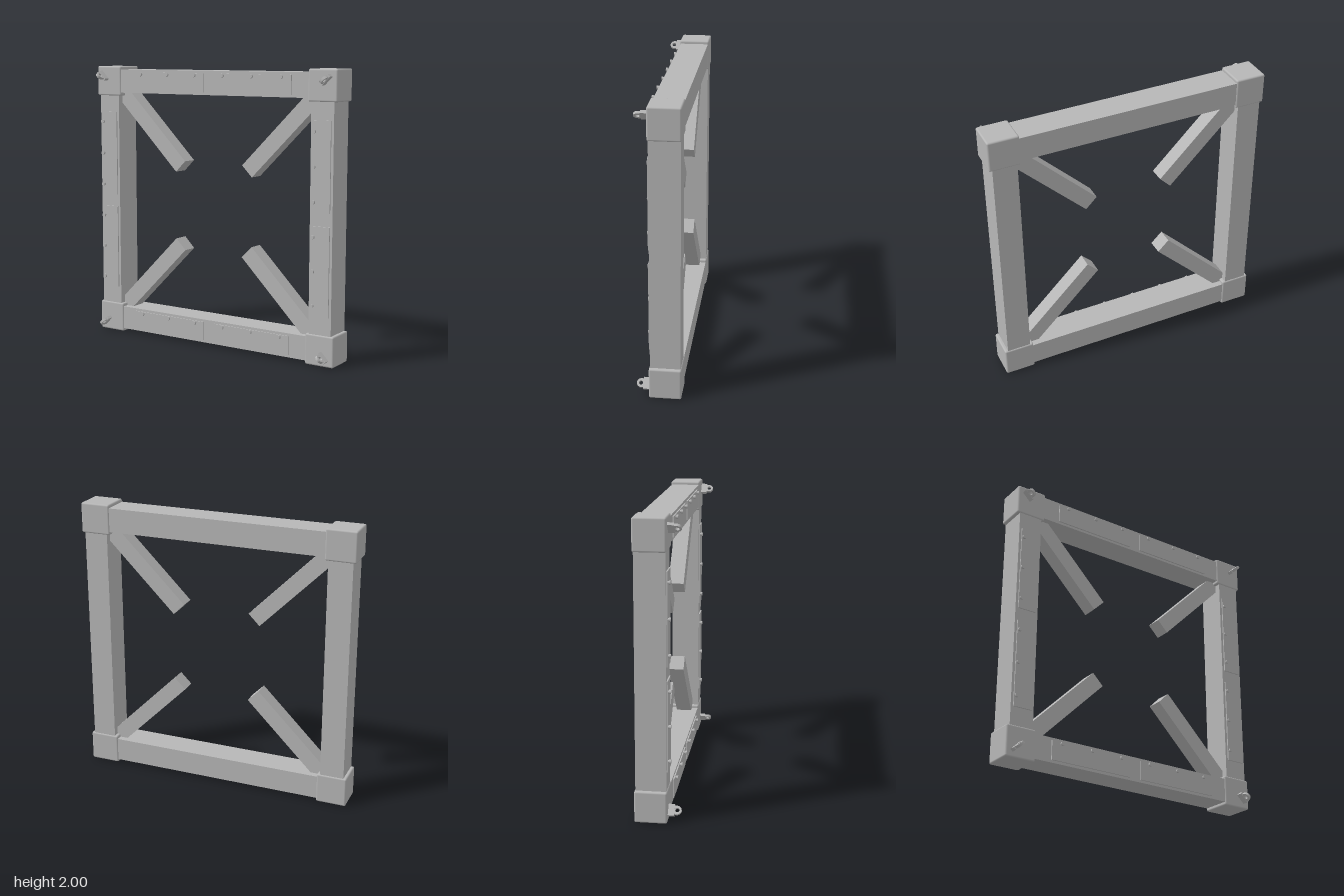
import * as THREE from 'three';
import { RoundedBoxGeometry } from 'three/addons/geometries/RoundedBoxGeometry.js';

export function createModel() {
  const root = new THREE.Group();
  root.name = 'squareFrame';
  const grey = new THREE.MeshStandardMaterial({ color: 0xb6b6b6 });
  grey.name = 'steelGrey';

  const add = (parent, name, geometry, x, y, z, turn = 0) => {
    const mesh = new THREE.Mesh(geometry, grey);
    mesh.name = name;
    mesh.position.set(x, y, z);
    mesh.rotation.z = turn;
    parent.add(mesh);
    return mesh;
  };

  const midZ = -0.044, frontZ = 0.057, reach = 0.892;

  // Four main beams
  const beam = new THREE.BoxGeometry(1.66, 0.17, 0.203);
  for (const s of [-1, 1]) {
    add(root, s > 0 ? 'topBeam' : 'bottomBeam', beam, 0, 1 + s * reach, midZ);
    add(root, s > 0 ? 'leftBeam' : 'rightBeam', beam, s * reach, 1, midZ, Math.PI / 2);
  }

  // Lug outline: rounded eye standing on a foot, drilled through
  const eye = new THREE.Shape();
  eye.moveTo(-0.03, 0);
  eye.lineTo(0.03, 0);
  eye.lineTo(0.03, 0.058);
  eye.absarc(0, 0.058, 0.03, 0, Math.PI, false);
  eye.closePath();
  const hole = new THREE.Path();
  hole.absarc(0, 0.06, 0.014, 0, Math.PI * 2, true);
  eye.holes.push(hole);
  const eyeGeometry = new THREE.ExtrudeGeometry(eye, { depth: 0.018, bevelEnabled: false, curveSegments: 16 });
  eyeGeometry.translate(0, 0, -0.009).rotateX(Math.PI / 2);

  // Corner blocks, diagonal braces and lifting lugs
  const block = new RoundedBoxGeometry(0.216, 0.216, 0.216, 2, 0.012);
  const brace = new THREE.BoxGeometry(0.85, 0.113, 0.113);
  const lugFoot = new THREE.BoxGeometry(0.08, 0.022, 0.044);
  for (const sx of [-1, 1]) {
    for (const sy of [-1, 1]) {
      const turn = sx * sy * Math.PI / 4;
      add(root, 'cornerBlock', block, sx * reach, 1 + sy * reach, midZ);
      add(root, 'diagonalBrace', brace, sx * 0.583, 1 + sy * 0.586, midZ, turn);
      const lug = new THREE.Group();
      lug.name = 'liftingLug';
      lug.position.set(sx * 0.93, 1 + sy * 0.93, 0.064);
      lug.rotation.z = turn;
      add(lug, 'lugFoot', lugFoot, 0, 0, 0.02);
      add(lug, 'lugEye', eyeGeometry, 0, 0, 0);
      root.add(lug);
    }
  }

  // Cover plates, each with a row of three bolts along one edge
  const plate = new THREE.BoxGeometry(0.615, 0.134, 0.009);
  const shank = new THREE.CylinderGeometry(0.01, 0.01, 0.012, 16).rotateX(Math.PI / 2);
  const head = new THREE.CylinderGeometry(0.014, 0.014, 0.012, 16).rotateX(Math.PI / 2);
  const addCover = (x, y, turn) => {
    const cover = new THREE.Group();
    cover.name = 'boltedCover';
    cover.position.set(x, y, frontZ);
    cover.rotation.z = turn;
    add(cover, 'coverPlate', plate, 0, 0, 0.0045);
    for (const i of [-1, 0, 1]) {
      const bx = 0.0 + i * 0.235;
      add(cover, 'boltShank', shank, bx, 0.053, 0.013);
      add(cover, 'boltHead', head, bx, 0.053, 0.022);
    }
    root.add(cover);
  };
  for (const s of [-1, 1]) {
    for (const t of [-1, 1]) {
      addCover(t * 0.353 - 0.003, 1 + s * 0.892 - (s < 0 ? 0 : 0.001), 0);
      addCover(s * 0.892, 1.003 + t * 0.353, Math.PI / 2);
    }
  }
  return root;
}
